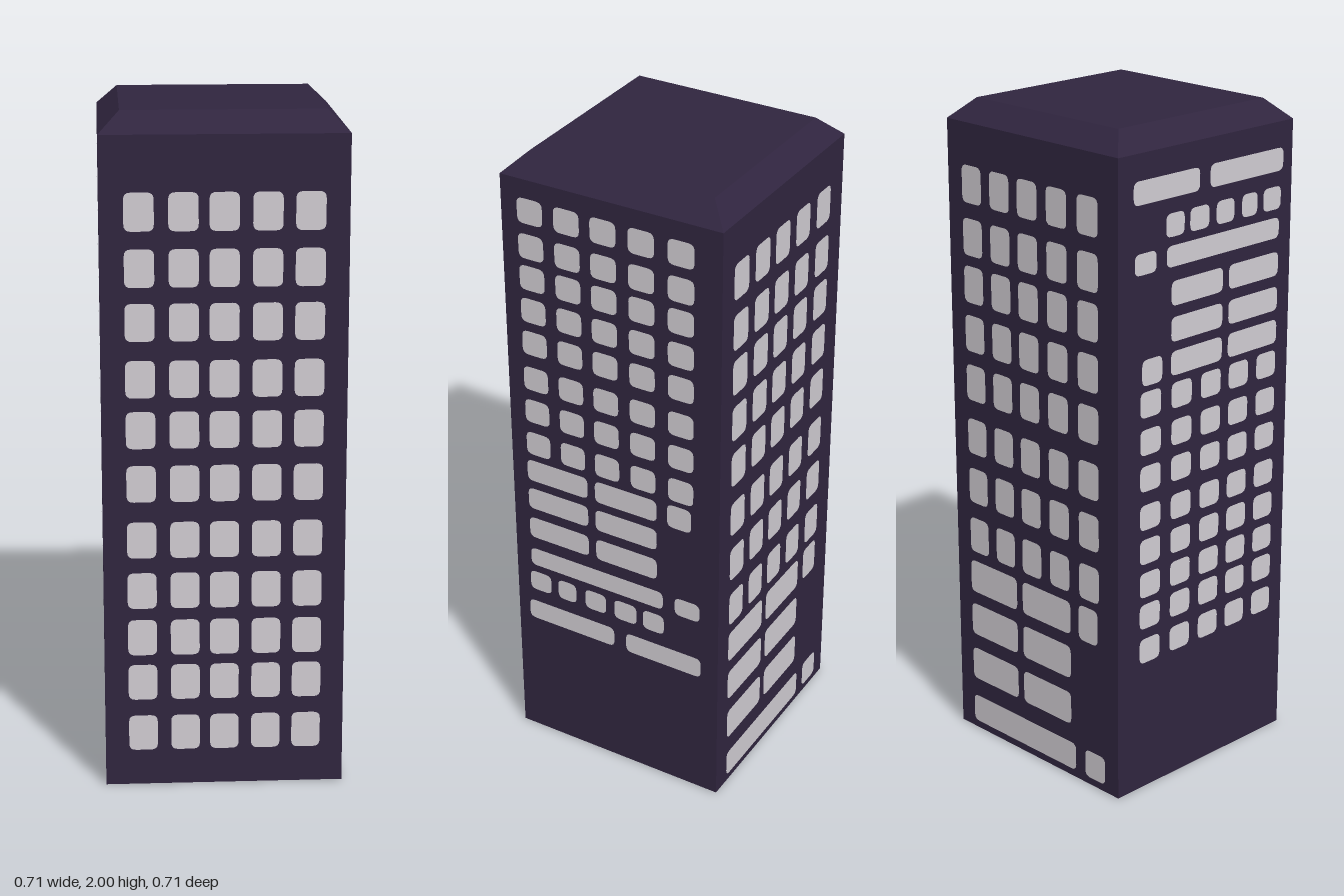
import * as THREE from 'three';
import { mergeGeometries } from 'three/addons/utils/BufferGeometryUtils.js';

const H = 0.352, WALL_TOP = 1.94, GAP = 0.002;

// One flat pane with rounded corners: centre u, v, width w, height h
function pane([u, v, w, h]) {
  const r = 0.02, a = w / 2, b = h / 2;
  const s = new THREE.Shape();
  s.moveTo(u - a + r, v - b);
  s.lineTo(u + a - r, v - b);
  s.quadraticCurveTo(u + a, v - b, u + a, v - b + r);
  s.lineTo(u + a, v + b - r);
  s.quadraticCurveTo(u + a, v + b, u + a - r, v + b);
  s.lineTo(u - a + r, v + b);
  s.quadraticCurveTo(u - a, v + b, u - a, v + b - r);
  s.lineTo(u - a, v - b + r);
  s.quadraticCurveTo(u - a, v - b, u - a + r, v - b);
  return new THREE.ShapeGeometry(s, 4);
}

// Regular grid of equal windows
function grid(cols, rows, w, h) {
  return rows.flatMap(v => cols.map(u => [u, v, w, h]));
}

// Row of windows given as [start, end] pairs
function strip(v, h, spans) {
  return spans.map(([s, e]) => [(s + e) / 2, v, e - s, h]);
}

export function createModel() {
  const group = new THREE.Group();
  const wall = new THREE.MeshStandardMaterial({ color: 0x30253f });
  wall.name = 'dark purple wall';
  const glass = new THREE.MeshStandardMaterial({ color: 0xd0ccd2 });
  glass.name = 'pale window';

  const add = (name, geometry, material) => {
    const mesh = new THREE.Mesh(geometry, material);
    mesh.name = name;
    group.add(mesh);
    return mesh;
  };

  // Tower and bevelled roof
  add('tower', new THREE.BoxGeometry(2 * H, WALL_TOP, 2 * H), wall).position.y = WALL_TOP / 2;
  const roof = new THREE.CylinderGeometry(0.29 * Math.SQRT2, H * Math.SQRT2, 2 - WALL_TOP, 4)
    .rotateY(Math.PI / 4).toNonIndexed();
  roof.computeVertexNormals();
  add('roof', roof, wall).position.y = (2 + WALL_TOP) / 2;

  // Lays a set of panes on a face
  const addWindows = (name, list, position, rx, ry) => {
    const mesh = add(name, mergeGeometries(list.map(pane)), glass);
    mesh.position.set(...position);
    mesh.rotation.set(rx, ry, 0);
  };

  // Front: plain grid
  const front = grid([-0.24, -0.115, 0, 0.122, 0.242],
    [1.725, 1.565, 1.41, 1.245, 1.095, 0.935, 0.765, 0.61, 0.465, 0.325, 0.165], 0.085, 0.11);
  addWindows('frontWindows', front, [0, 0, H + GAP], 0, 0);

  // Mixed pattern: grid above, long windows below
  const pair = [[-0.3, -0.09], [-0.065, 0.145]];
  const upper = [
    ...grid([-0.257, -0.138, -0.021, 0.1, 0.225],
      [1.845, 1.735, 1.635, 1.53, 1.423, 1.304, 1.193, 1.08], 0.083, 0.078),
    ...[0.983, 0.882, 0.776].flatMap(v => strip(v, 0.073, pair)),
    [0.22, 0.985, 0.08, 0.078],
    ...strip(0.667, 0.062, [[-0.3, 0.165], [0.205, 0.29]]),
  ];
  const smallSpans = [[-0.305, -0.23], [-0.205, -0.14], [-0.108, -0.034], [-0.005, 0.073], [0.095, 0.168]];
  const barSpans = [[-0.312, -0.007], [0.035, 0.295]];
  const side = [...upper, ...strip(0.577, 0.068, smallSpans), ...strip(0.465, 0.068, barSpans)];

  addWindows('leftWindows', side, [H + GAP, 0, 0], 0, Math.PI / 2);

  // Right: the same pattern turned upside down
  addWindows('rightWindows', side.map(([u, v, w, h]) => [-u, 2.295 - v, w, h]),
    [-H - GAP, 0, 0], 0, -Math.PI / 2);

  // Back: the pattern stretched, its last rows running on under the base
  const k = 1.436;
  addWindows('backWindows', upper.map(([u, v, w, h]) => [u + 0.008, 1.76 - k * (1.845 - v), w, h * k]),
    [0, 0, -H - GAP], 0, Math.PI);
  const base = [...strip(-0.29, 0.068, smallSpans), ...strip(-0.19, 0.068, barSpans)];
  addWindows('baseWindows', base.map(([u, v, w, h]) => [-u, v, w, h]), [0, -GAP, 0], Math.PI / 2, 0);

  return group;
}
